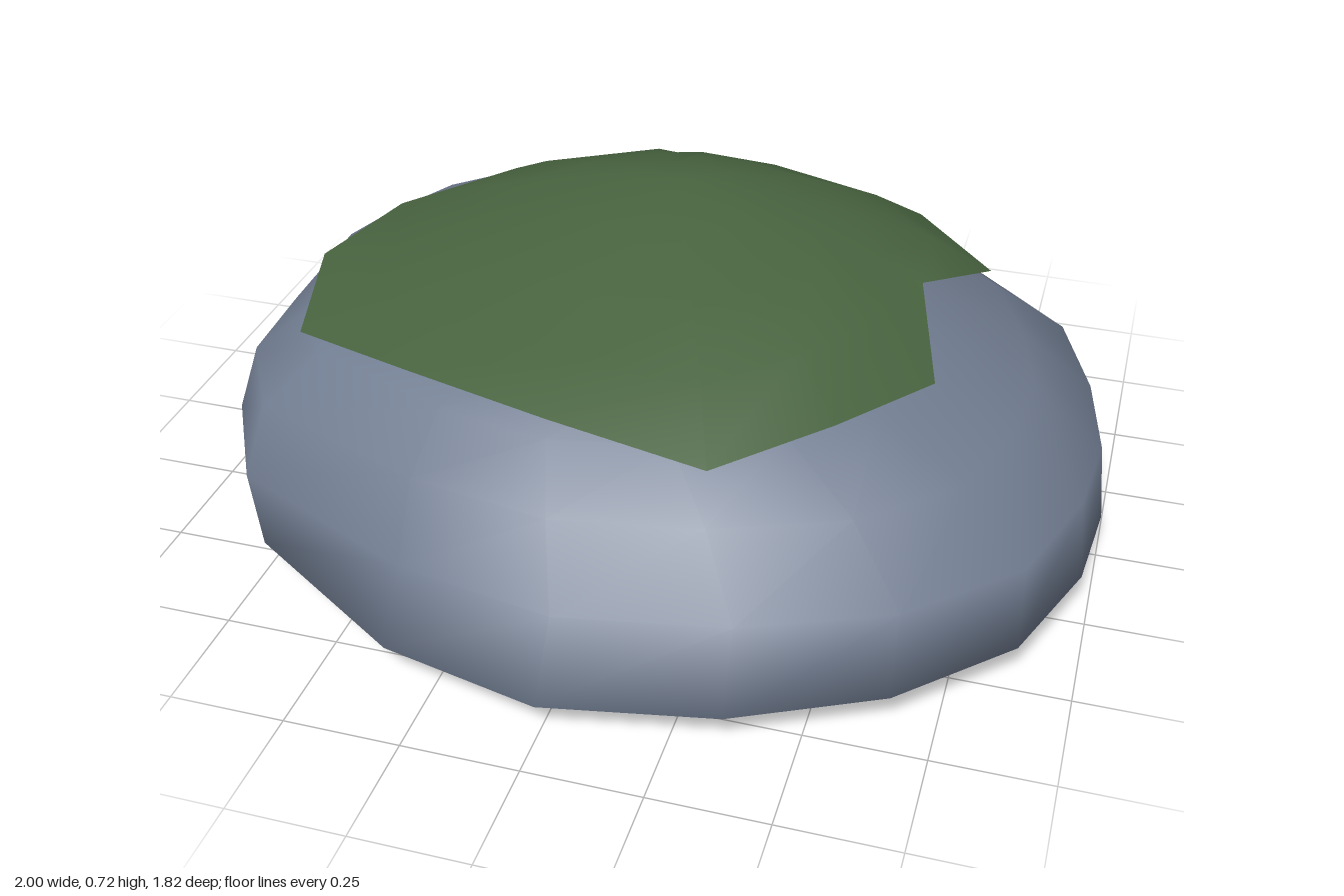
import * as THREE from 'three';

// Joins rings of [x, y, z] points, listed bottom to top; one-point rings are poles.
function loft(rings) {
  const positions = [], index = [], starts = [];
  for (const ring of rings) {
    starts.push(positions.length / 3);
    for (const p of ring) positions.push(...p);
  }
  for (let r = 0; r < rings.length - 1; r++) {
    const lo = rings[r].length, hi = rings[r + 1].length, n = Math.max(lo, hi);
    for (let i = 0; i < n; i++) {
      const j = (i + 1) % n;
      const a = starts[r] + (i % lo), b = starts[r] + (j % lo);
      const c = starts[r + 1] + (j % hi), d = starts[r + 1] + (i % hi);
      if (a !== b) index.push(a, b, c);
      if (c !== d) index.push(a, c, d);
    }
  }
  const geometry = new THREE.BufferGeometry();
  geometry.setAttribute('position', new THREE.Float32BufferAttribute(positions, 3));
  geometry.setIndex(index);
  geometry.computeVertexNormals();
  return geometry;
}

function rockGeometry() {
  // Plan of the widest part, anticlockwise from the front: x, z and how far the
  // wall above bulges out (positive) or slopes in (negative)
  const rim = [
    [0, 0.91, 0], [0.36, 0.84, 0], [0.66, 0.69, 0.02], [0.88, 0.47, 0.02], [0.98, 0.2, 0],
    [1, -0.03, 0], [0.97, -0.3, -0.03], [0.9, -0.59, -0.07], [0.66, -0.8, -0.05],
    [0.34, -0.88, 0], [0, -0.91, 0], [-0.34, -0.91, 0], [-0.67, -0.81, -0.03],
    [-0.91, -0.59, -0.04], [-1, -0.31, 0], [-0.97, 0.09, 0.02], [-0.87, 0.34, 0.12],
    [-0.74, 0.58, 0.12], [-0.35, 0.83, 0.02],
  ];
  // Height, the extents of each layer (left, right, back, front) and its share of the bulge
  const layers = [
    [0.015, -0.5, 0.5, -0.5, 0.45, 0],
    [0.04, -0.86, 0.84, -0.78, 0.76, 0],
    [0.085, -1, 1, -0.91, 0.91, 0],
    [0.24, -0.97, 0.98, -0.9, 0.82, 0.7],
    [0.38, -0.9, 0.82, -0.77, 0.7, 1],
    [0.49, -0.76, 0.61, -0.64, 0.59, 1],
    [0.57, -0.54, 0.42, -0.5, 0.4, 0.4],
    [0.64, -0.32, 0.23, -0.32, 0.16, 0],
  ];
  const rings = layers.map(([y, x0, x1, z0, z1, share]) => rim.map(([x, z, bulge]) => {
    const k = 1 + bulge * share;
    return [
      (x0 + x1) / 2 + k * x * (x1 - x0) / 2, y,
      (z0 + z1) / 2 + k * (z / 0.91) * (z1 - z0) / 2,
    ];
  }));
  return loft([[[0, 0, -0.15]], ...rings, [[-0.02, 0.68, -0.1]]]);
}

function mossGeometry() {
  // Ragged edge, anticlockwise from the front
  const edge = [
    [-0.07, 0.55, 0.605], [0.26, 0.49, 0.605], [0.47, 0.51, 0.41], [0.63, 0.485, 0.16],
    [0.56, 0.6, -0.05], [0.68, 0.52, -0.29], [0.48, 0.515, -0.53], [0.18, 0.6, -0.5],
    [-0.06, 0.52, -0.67], [-0.16, 0.61, -0.45], [-0.47, 0.6, -0.33], [-0.71, 0.54, -0.19],
    [-0.775, 0.545, 0.1], [-0.71, 0.505, 0.37], [-0.41, 0.54, 0.5],
  ];
  const cx = -0.01, cz = -0.14;
  // Blunt cone, falling away faster at the back
  const dome = (x, z) =>
    0.795 - 0.32 * Math.hypot(x - cx, z - cz, 0.22) - Math.max(0, -0.28 - z) ** 2;
  const inner = [0.8, 0.55, 0.28].map((t) => edge.map(([x, , z]) => {
    const px = cx + (x - cx) * t, pz = cz + (z - cz) * t;
    return [px, dome(px, pz), pz];
  }));
  return loft([edge, ...inner, [[cx, dome(cx, cz), cz]]]);
}

export function createModel() {
  const stone = new THREE.MeshStandardMaterial({ color: 0x717d91 });
  stone.name = 'blue grey stone';
  const green = new THREE.MeshStandardMaterial({ color: 0x48633f, side: THREE.DoubleSide });
  green.name = 'moss green';

  const group = new THREE.Group();
  group.name = 'mossyRock';
  const rock = new THREE.Mesh(rockGeometry(), stone);
  rock.name = 'rock';
  const moss = new THREE.Mesh(mossGeometry(), green);
  moss.name = 'mossCap';
  group.add(rock, moss);
  return group;
}
